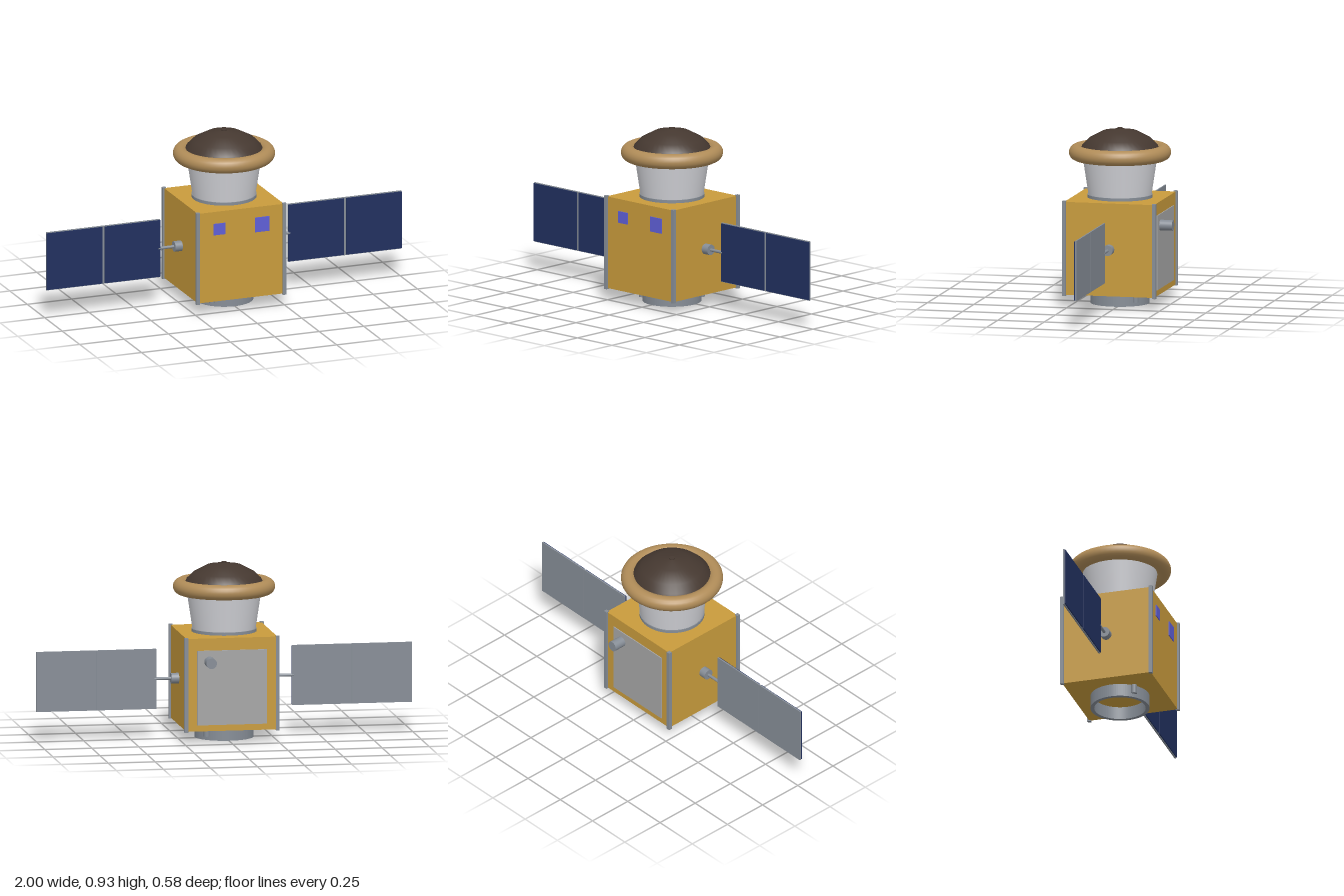
import * as THREE from 'three';

const mat = (color, extra = {}) => new THREE.MeshStandardMaterial({ color, ...extra });
const GOLD = mat(0xc89b3c), STEEL = mat(0x868d96), NAVY = mat(0x21305f), VIOLET = mat(0x5f5fd6);
const PALE = mat(0xa6a6a6), WHITE = mat(0xd2d3d8), TAN = mat(0xb08c58), BROWN = mat(0x453830, { side: THREE.DoubleSide });

export function createModel() {
  const model = new THREE.Group();
  model.name = 'satellite';
  const craft = new THREE.Group();
  craft.name = 'spacecraft';
  craft.position.z = 0.023; // body axis; the rear sensor shifts the overall centre
  model.add(craft);

  const add = (name, geometry, material, x = 0, y = 0, z = 0, parent = craft) => {
    const mesh = new THREE.Mesh(geometry, material);
    mesh.name = name;
    mesh.position.set(x, y, z);
    parent.add(mesh);
    return mesh;
  };
  const box = (name, w, h, d, m, x, y, z, p) => add(name, new THREE.BoxGeometry(w, h, d), m, x, y, z, p);
  const rod = (name, rTop, rBottom, h, m, x, y, z, p, sides = 32) =>
    add(name, new THREE.CylinderGeometry(rTop, rBottom, h, sides), m, x, y, z, p);

  // Main body with four corner rails
  box('body', 0.484, 0.492, 0.484, GOLD, 0, 0.314, 0);
  for (const x of [-1, 1]) for (const z of [-1, 1])
    box('cornerRail', 0.019, 0.502, 0.019, STEEL, x * 0.243, 0.314, z * 0.2425);

  // Front sensors, rear radiator and rear sensor tube
  box('smallFrontSensor', 0.066, 0.062, 0.008, VIOLET, -0.122, 0.464, 0.243);
  box('largeFrontSensor', 0.08, 0.08, 0.008, VIOLET, 0.118, 0.463, 0.243);
  box('radiator', 0.37, 0.395, 0.008, PALE, 0, 0.298, -0.243);
  rod('rearSensor', 0.028, 0.028, 0.075, STEEL, 0.12, 0.437, -0.2775).rotation.x = Math.PI / 2;

  // Open adapter ring underneath, with two separation lugs on a diagonal
  const ring = new THREE.Shape().absarc(0, 0, 0.155, 0, Math.PI * 2);
  ring.holes.push(new THREE.Path().absarc(0, 0, 0.135, 0, Math.PI * 2, true));
  const ringGeometry = new THREE.ExtrudeGeometry(ring, { depth: 0.07, bevelEnabled: false, curveSegments: 40 });
  add('adapterRing', ringGeometry.rotateX(-Math.PI / 2), STEEL);
  for (const s of [-1, 1])
    rod('separationLug', 0.016, 0.016, 0.05, STEEL, s * 0.111, 0.045, -s * 0.111, craft, 16);

  // Flared neck, padded rim and dome
  rod('neckCollar', 0.171, 0.171, 0.017, STEEL, 0, 0.5675, 0, craft, 40);
  rod('neck', 0.2, 0.166, 0.225, WHITE, 0, 0.6875, 0, craft, 40);
  add('rim', new THREE.TorusGeometry(0.228, 0.04, 20, 56).rotateX(Math.PI / 2), TAN, 0, 0.797, 0);
  const domeProfile = [[0.217, 0.79], [0.197, 0.836], [0.162, 0.871], [0.09, 0.909], [0.0, 0.924]]
    .map(([r, y]) => new THREE.Vector2(r, y));
  add('dome', new THREE.LatheGeometry(domeProfile, 40), BROWN);
  rod('domeCap', 0.015, 0.015, 0.012, BROWN, 0, 0.92, 0, craft, 16);

  // Solar wings: hub, boom, grey backing, hinge and two cell panels per side
  for (const s of [-1, 1]) {
    const wing = new THREE.Group();
    wing.name = s > 0 ? 'leftWing' : 'rightWing';
    wing.position.y = 0.315;
    craft.add(wing);
    rod('hub', 0.028, 0.028, 0.045, STEEL, s * 0.2605, 0, 0, wing).rotation.z = Math.PI / 2;
    rod('boom', 0.008, 0.008, 0.11, STEEL, s * 0.315, 0, 0, wing, 16).rotation.z = Math.PI / 2;
    rod('hinge', 0.005, 0.005, 0.318, STEEL, s * 0.68, 0, -0.003, wing, 12);
    for (const x of [0.52, 0.84]) {
      box('panelBacking', 0.318, 0.318, 0.008, STEEL, s * x, 0, -0.003, wing);
      box('solarCells', 0.312, 0.31, 0.006, NAVY, s * (x + (x < 0.6 ? -0.003 : 0.003)), 0, 0.004, wing);
    }
  }
  return model;
}
